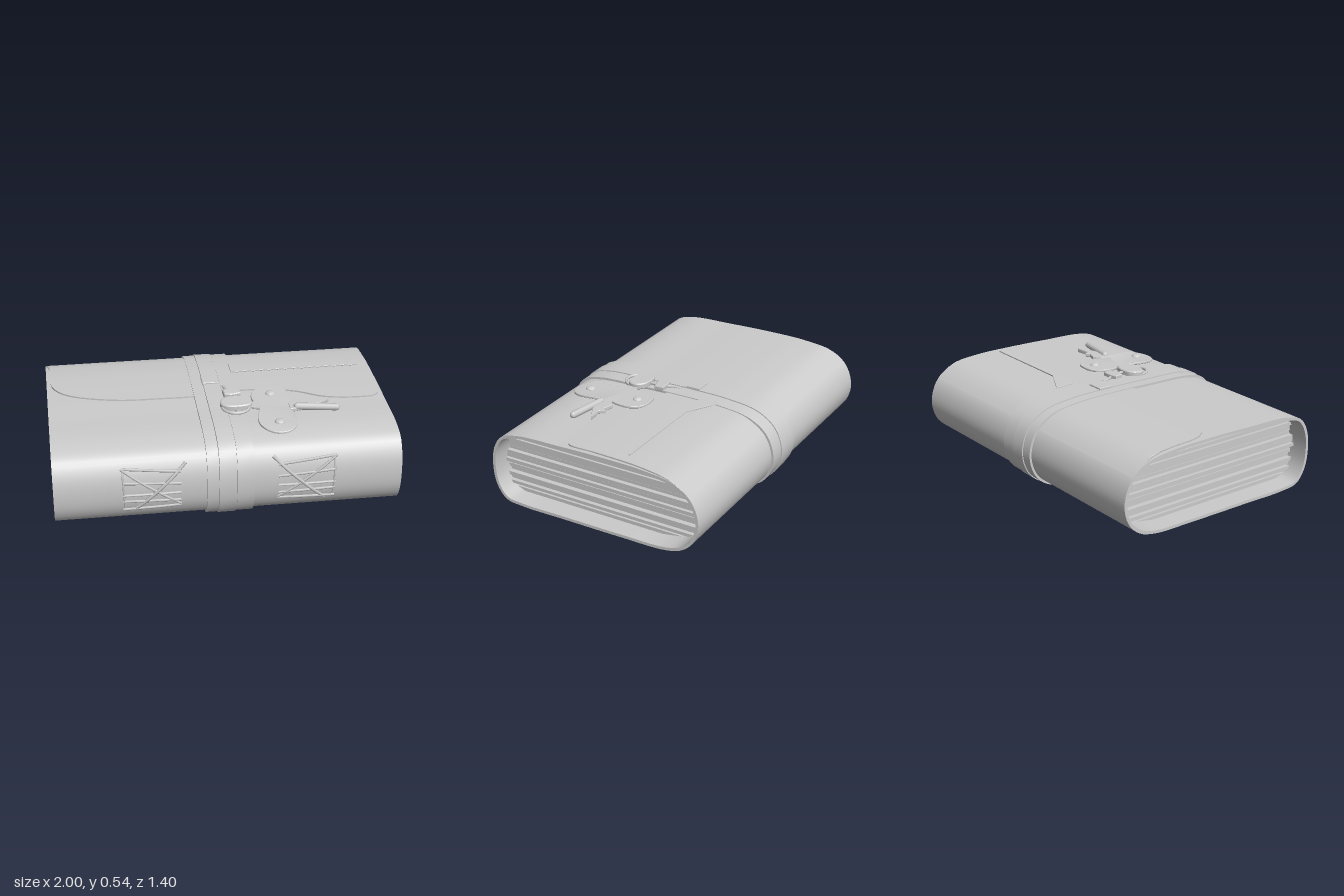
import * as THREE from 'three';
import { toCreasedNormals } from 'three/addons/utils/BufferGeometryUtils.js';

const V2 = (x, y) => new THREE.Vector2(x, y);
const V3 = (x, y, z) => new THREE.Vector3(x, y, z);
const mat = new THREE.MeshStandardMaterial({ color: 0xcccccc, side: THREE.DoubleSide });

// Cross-section of the wrapped cover as (z, y), from the spine over the top
const profile = [
  [0.676, 0.25], [0.658, 0.36], [0.605, 0.438], [0.49, 0.474], [0.2, 0.487], [-0.1, 0.493],
  [-0.35, 0.487], [-0.53, 0.458], [-0.64, 0.382], [-0.686, 0.25], [-0.655, 0.13], [-0.58, 0.058],
  [-0.47, 0.027], [-0.2, 0.02], [0.2, 0.018], [0.48, 0.018], [0.595, 0.036], [0.657, 0.12],
];
const base = new THREE.CatmullRomCurve3(profile.map(([z, y]) => V3(-z, y, 0)), true)
  .getSpacedPoints(120).slice(0, 120);

// The section moved outward by d, in (-z, y)
function loop(d) {
  return base.map((p, i) => {
    const t = base[(i + 1) % 120].clone().sub(base[(i + 119) % 120]).normalize();
    return V2(p.x - t.y * d, p.y + t.x * d);
  });
}

// Height of the cover's top at z
function topY(z) {
  for (let i = 0; i < 119; i++) {
    const a = base[i], b = base[i + 1];
    if (a.y > 0.25 && -z >= a.x && -z <= b.x) return a.y + (b.y - a.y) * (-z - a.x) / (b.x - a.x);
  }
  return 0.25;
}

// Front and back z of a loop at height y
function zRange(y, pts) {
  const zs = [];
  pts.forEach((a, i) => {
    const b = pts[(i + 1) % pts.length];
    if ((a.y - y) * (b.y - y) <= 0 && a.y !== b.y) zs.push(-(a.x + (b.x - a.x) * (y - a.y) / (b.y - a.y)));
  });
  return [Math.max(...zs), Math.min(...zs)];
}

function add(group, name, geometry) {
  const m = new THREE.Mesh(geometry, mat);
  m.name = name;
  group.add(m);
  return m;
}

// Extrude a (-z, y) shape from x0 to x1
function alongX(shape, x0, x1) {
  const g = new THREE.ExtrudeGeometry(shape, { depth: x1 - x0, bevelEnabled: false });
  return toCreasedNormals(g.rotateY(Math.PI / 2).translate(x0, 0, 0), 0.6);
}

function ring(x0, x1, outer, inner) {
  const s = new THREE.Shape(loop(outer));
  s.holes.push(new THREE.Path(loop(inner)));
  return alongX(s, x0, x1);
}

// Round off a closed (x, z) outline
function rounded(points) {
  return new THREE.CatmullRomCurve3(points.map(([x, z]) => V3(x, 0, z)), true)
    .getPoints(points.length * 4).slice(0, -1).map((p) => [p.x, p.z]);
}

// A flat (x, z) outline laid over the top of the cover
function draped(points, lift, height, bevel = 0.003) {
  const s = new THREE.Shape(points.map(([x, z]) => V2(x, -z)));
  const g = new THREE.ExtrudeGeometry(s, { depth: height, bevelThickness: bevel, bevelSize: bevel, bevelSegments: 1 });
  g.rotateX(-Math.PI / 2);
  const p = g.attributes.position;
  for (let i = 0; i < p.count; i++) p.setY(i, p.getY(i) + lift + topY(p.getZ(i)));
  return toCreasedNormals(g, 0.6);
}

function tube(points, r) {
  return new THREE.TubeGeometry(new THREE.CatmullRomCurve3(points), 16, r, 6);
}

function flapGeometry() {
  const edge = new THREE.CatmullRomCurve3([
    [-1, -0.58], [-0.975, -0.4], [-0.965, -0.16], [-0.88, -0.05], [-0.6, 0.045], [-0.3, 0.06], [-0.13, 0.06],
    [0.14, 0.02], [0.38, 0.04], [0.5, 0.08], [0.64, 0.155], [0.83, 0.185], [0.96, 0.165], [0.975, 0], [0.985, -0.25], [1, -0.55],
  ].map(([x, z]) => V3(x, 0, z)), false, 'centripetal').getPoints(90);
  const rows = 24, pos = [], idx = [];
  edge.forEach((e, i) => {
    for (let j = 0; j <= rows; j++) {
      const z = THREE.MathUtils.lerp(e.z, -0.63, Math.max(0, j - 1) / (rows - 1));
      const fade = THREE.MathUtils.smoothstep(z, -0.63, -0.45);
      pos.push(e.x, topY(z) + (j === 0 ? -0.003 : 0.001 + 0.008 * fade), z);
      if (i < edge.length - 1 && j < rows) {
        const a = i * (rows + 1) + j, b = a + rows + 1;
        idx.push(a, b, a + 1, b, b + 1, a + 1);
      }
    }
  });
  const g = new THREE.BufferGeometry();
  g.setAttribute('position', new THREE.Float32BufferAttribute(pos, 3));
  g.setIndex(idx);
  return toCreasedNormals(g, 0.7);
}

export function createModel() {
  const model = new THREE.Group();
  model.name = 'leatherJournal';

  // Cover and overlapping flap
  add(model, 'cover', ring(-1, 1, 0, -0.018));
  add(model, 'flap', flapGeometry());

  // Page signatures filling the cover, set back from its open ends
  const pages = new THREE.Group();
  pages.name = 'pages';
  model.add(pages);
  const inner = loop(-0.022);
  for (let k = 0; k < 6; k++) {
    for (let j = 0; j < 3; j++) {
      const y0 = 0.044 + k * 0.0695 + j * 0.022, y1 = y0 + (j === 2 ? 0.0195 : 0.0215);
      const [f0, b0] = zRange(y0, inner), [f1, b1] = zRange(y1, inner);
      const trim = 0.022 + 0.012 * Math.sin(k * 5 + j * 2);
      const s = new THREE.Shape([V2(-f0, y0), V2(-f1, y1), V2(-b1 - trim, y1), V2(-b0 - trim, y0)]);
      const w = 0.885 + 0.018 * Math.sin(k * 3 + j * 4);
      add(pages, 'leaves', alongX(s, -w, w));
    }
  }

  // Wrapped straps
  add(model, 'strapRight', ring(-0.13, -0.062, 0.014, -0.002));
  add(model, 'strapMiddle', ring(-0.06, 0.04, 0.019, -0.002));
  add(model, 'strapLeft', ring(0.042, 0.14, 0.014, -0.002));

  // Stitching on the spine, and patch borders beneath
  for (const s of [-1, 1]) {
    const stitching = new THREE.Group();
    stitching.name = s > 0 ? 'stitchingLeft' : 'stitchingRight';
    model.add(stitching);
    const thread = (x0, y0, x1, y1, r, lift) => {
      const pts = [0, 0.25, 0.5, 0.75, 1].map((t) => {
        const y = y0 + (y1 - y0) * t;
        return V3(s * (x0 + (x1 - x0) * t), y, zRange(y, base)[0] + lift * Math.sin(Math.PI * t));
      });
      add(stitching, 'thread', tube(pts, r));
    };
    [[0.35, 0.38], [0.28, 0.30], [0.22, 0.22], [0.17, 0.18], [0.13, 0.12]]
      .forEach(([a, b]) => thread(0.28, a, 0.61, b, 0.008, 0.003));
    thread(0.25, 0.395, 0.55, 0.11, 0.01, 0.007);
    thread(0.28, 0.14, 0.62, 0.38, 0.008, 0.005);
    thread(0.60, 0.14, 0.61, 0.38, 0.006, 0.001);
    for (const [x, z, w, d] of [[0.23, 0.15, 0.015, 0.7], [0.34, 0.15, 0.015, 0.7], [0.55, 0.15, 0.015, 0.7],
      [0.39, 0.5, 0.33, 0.015], [0.39, -0.2, 0.33, 0.015]]) {
      add(stitching, 'patchBorder', new THREE.BoxGeometry(w, 0.01, d).translate(s * x, 0.018, z));
    }
  }

  // Clasp plate with two rivets
  const clasp = new THREE.Group();
  clasp.name = 'clasp';
  model.add(clasp);
  add(clasp, 'claspPlate', draped(rounded([[0.26, 0.04], [0.38, 0.04], [0.425, 0.1], [0.425, 0.19], [0.405, 0.27],
    [0.42, 0.36], [0.42, 0.46], [0.385, 0.515], [0.32, 0.535], [0.25, 0.51], [0.21, 0.45], [0.21, 0.36], [0.235, 0.27],
    [0.21, 0.19], [0.21, 0.1]]), 0.011, 0.009));
  for (const z of [0.11, 0.44]) {
    const dome = new THREE.SphereGeometry(0.03, 16, 6, 0, Math.PI * 2, 0, Math.PI / 2).scale(1, 0.5, 1);
    add(clasp, 'rivet', dome.translate(0.322, topY(z) + 0.022, z));
  }

  // Toggle pin and hook
  const pin = add(clasp, 'togglePin', new THREE.CapsuleGeometry(0.021, 0.23, 4, 10));
  pin.position.set(0.565, topY(0.3) + 0.025, 0.305);
  pin.rotation.set(0, -0.17, Math.PI / 2);
  add(clasp, 'hook', draped([[0.41, 0.24], [0.46, 0.20], [0.52, 0.22], [0.54, 0.20], [0.56, 0.23], [0.65, 0.22],
    [0.56, 0.27], [0.46, 0.30], [0.41, 0.31]], 0.005, 0.018));

  // Buckle ring, slider and knot beside the straps
  const buckle = add(clasp, 'buckleRing', new THREE.TorusGeometry(0.08, 0.009, 8, 28));
  buckle.rotation.x = Math.PI / 2;
  buckle.position.set(0.095, topY(0.24) + 0.022, 0.24);
  add(clasp, 'buckleSlider', draped(rounded([[0.015, 0.2], [0.05, 0.165], [0.15, 0.165], [0.185, 0.2], [0.18, 0.25],
    [0.15, 0.265], [0.05, 0.265], [0.015, 0.24]]), 0.015, 0.026, 0.006));
  add(clasp, 'buckleTab', draped([[0.18, 0.2], [0.23, 0.19], [0.23, 0.27], [0.18, 0.25]], 0.012, 0.01));
  add(clasp, 'knot', draped([[0.045, 0.06], [0.08, 0.05], [0.14, 0.05], [0.14, 0.1], [0.09, 0.115], [0.05, 0.105]], 0.012, 0.022, 0.005));
  add(clasp, 'cord', tube([V3(0.055, 0.505, -0.03), V3(0.07, 0.51, 0.03), V3(0.1, 0.515, 0.08), V3(0.1, 0.515, 0.17)], 0.01));
  add(clasp, 'strapLoop', draped([[-0.062, -0.14], [0.035, -0.14], [0.035, -0.06], [-0.062, -0.06]], 0.014, 0.012));

  // Folded strap tail on the flap
  add(model, 'strapTail', draped([[0.13, -0.32], [0.32, -0.215], [0.92, -0.212], [0.92, -0.203], [0.13, -0.203]], 0.013, 0.006, 0.001));

  return model;
}
